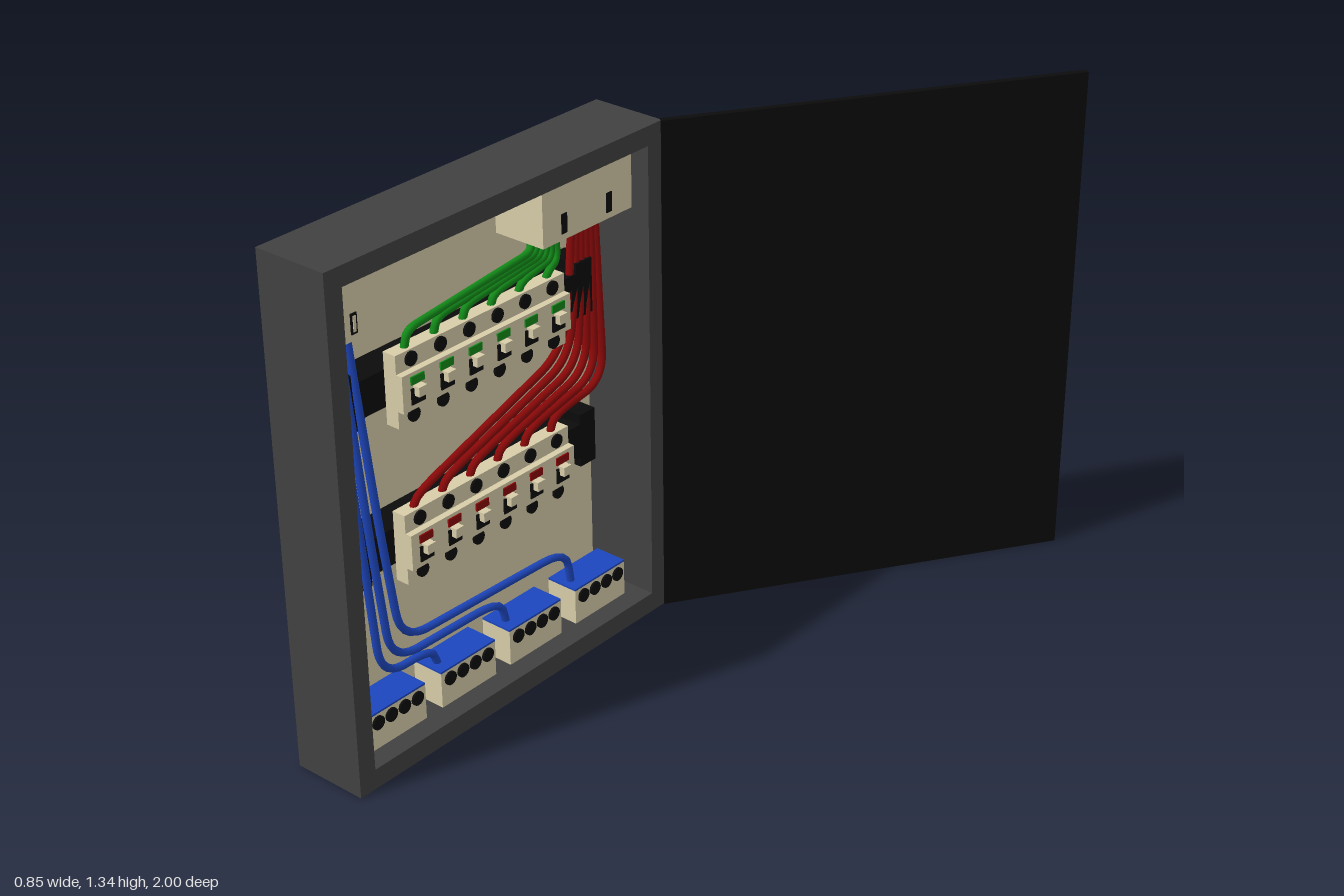
import * as THREE from 'three';

const material = (name, color) => {
  const m = new THREE.MeshStandardMaterial({ color });
  m.name = name;
  return m;
};

export function createModel() {
  const model = new THREE.Group();
  model.name = 'electricalCabinet';
  const grey = material('cabinet grey', 0x414141);
  const black = material('black', 0x0b0b0b);
  const beige = material('beige', 0xd8cda9);
  const blue = material('blue', 0x1d46bd);
  const green = material('green', 0x128a18);
  const red = material('red', 0x8a0808);

  // Box given by its limits on each axis
  const box = (name, mat, x0, x1, y0, y1, z0, z1, parent = model) => {
    const mesh = new THREE.Mesh(new THREE.BoxGeometry(x1 - x0, y1 - y0, z1 - z0), mat);
    mesh.position.set((x0 + x1) / 2, (y0 + y1) / 2, (z0 + z1) / 2);
    mesh.name = name;
    parent.add(mesh);
    return mesh;
  };
  // Short round plug facing +x
  const disc = (name, x, y, z, parent) => {
    const mesh = new THREE.Mesh(new THREE.CylinderGeometry(0.018, 0.018, 0.008, 16), black);
    mesh.rotation.z = -Math.PI / 2;
    mesh.position.set(x, y, z);
    mesh.name = name;
    parent.add(mesh);
  };
  // Wire through [x, y, z] points, with rounded bends at inner points
  const wire = (name, mat, points, bend = 0.06) => {
    const p = points.map((a) => new THREE.Vector3(...a));
    const path = new THREE.CurvePath();
    let last = p[0];
    for (let i = 1; i < p.length - 1; i++) {
      const toward = (q) => {
        const d = q.clone().sub(p[i]);
        return p[i].clone().addScaledVector(d.clone().normalize(), Math.min(bend, d.length() * 0.48));
      };
      const a = toward(p[i - 1]), b = toward(p[i + 1]);
      path.add(new THREE.LineCurve3(last, a));
      path.add(new THREE.QuadraticBezierCurve3(a, p[i], b));
      last = b;
    }
    path.add(new THREE.LineCurve3(last, p[p.length - 1]));
    const mesh = new THREE.Mesh(new THREE.TubeGeometry(path, 64, 0.01, 8), mat);
    mesh.name = name;
    model.add(mesh);
  };

  // Cabinet shell, open toward +x
  const H = 1.335;
  const outline = new THREE.Shape([[-1, 0], [0.09, 0], [0.09, H], [-1, H]].map((a) => new THREE.Vector2(...a)));
  outline.holes.push(new THREE.Path([[-0.95, 0.053], [-0.95, 1.285], [0.038, 1.285], [0.038, 0.053]].map((a) => new THREE.Vector2(...a))));
  const frame = new THREE.Mesh(new THREE.ExtrudeGeometry(outline, { depth: 0.205, bevelEnabled: false }), grey);
  frame.rotation.y = Math.PI / 2;
  frame.position.x = -0.39;
  frame.name = 'cabinetFrame';
  model.add(frame);
  box('backPlate', grey, -0.427, -0.39, 0.053, 1.285, -0.038, 0.95);
  box('mountingPanel', beige, -0.392, -0.386, 0.053, 1.285, -0.038, 0.95);

  // Open door
  const door = box('door', black, -0.009, 0.009, 0, H, -0.545, 0.545);
  door.rotation.y = Math.atan2(0.605, -0.907);
  door.position.set(0.113, H / 2, -0.541);

  // Cable inlet blocks at the top, with slots
  box('inletBlockLeft', beige, -0.388, -0.237, 1.115, 1.284, 0.8, 0.949);
  box('inletBlockRight', beige, -0.388, -0.237, 1.115, 1.284, -0.037, 0.275);
  for (const z of [0.877, 0.203, 0.046]) box('inletSlot', black, -0.238, -0.234, 1.132, 1.182, z - 0.009, z + 0.009);
  box('inletSlotCore', beige, -0.235, -0.232, 1.138, 1.176, 0.873, 0.881);

  // Two rows of breakers on rails
  const breakerZ = (i) => 0.692 - 0.0935 * i;
  for (const [cy, labelMat] of [[0.922, green], [0.513, red]]) {
    const row = new THREE.Group();
    row.name = 'breakerRow';
    model.add(row);
    box('rail', black, -0.388, -0.3, cy - 0.047, cy + 0.047, 0.09, 0.82, row);
    for (const z of [0.04, 0.815]) box('railEnd', black, -0.388, -0.3, cy - 0.072, cy + 0.072, z, z + 0.055, row);
    box('breakerBody', beige, -0.3, -0.262, cy - 0.092, cy + 0.092, 0.18, 0.738, row);
    box('breakerStep', beige, -0.27, -0.244, cy - 0.048, cy + 0.045, 0.18, 0.738, row);
    for (let i = 0; i < 6; i++) {
      const z = breakerZ(i);
      for (const s of [-1, 1]) disc('screw', -0.26, cy + s * 0.07, z, row);
      box('switchSlot', black, -0.246, -0.24, cy - 0.034, cy + 0.006, z - 0.021, z + 0.021, row);
      box('switchLever', beige, -0.246, -0.225, cy - 0.012, cy + 0.012, z - 0.013, z + 0.013, row);
      box('label', labelMat, -0.246, -0.24, cy + 0.016, cy + 0.036, z - 0.021, z + 0.021, row);
    }
  }

  // Terminal blocks along the floor
  for (const cz of [0.818, 0.578, 0.34, 0.1]) {
    const block = new THREE.Group();
    block.name = 'terminalBlock';
    model.add(block);
    box('terminalBody', beige, -0.33, -0.24, 0.053, 0.148, cz - 0.093, cz + 0.093, block);
    box('terminalTop', blue, -0.33, -0.24, 0.148, 0.153, cz - 0.093, cz + 0.093, block);
    for (let k = 0; k < 4; k++) disc('terminalHole', -0.238, 0.125, cz + (1.5 - k) * 0.043, block);
  }

  // Blue wires from the left inlet to the terminals
  const X = -0.28, T = -0.31;
  wire('blueWire', blue, [[T, 1.12, 0.91], [X, 0.6, 0.9], [X, 0.15, 0.882]]);
  wire('blueWire', blue, [[T, 1.12, 0.887], [X, 0.6, 0.862], [X, 0.2, 0.825], [X, 0.2, 0.66], [X, 0.15, 0.642]], 0.09);
  wire('blueWire', blue, [[T, 1.12, 0.862], [X, 0.6, 0.835], [X, 0.225, 0.79], [X, 0.218, 0.42], [X, 0.15, 0.403]], 0.09);
  wire('blueWire', blue, [[T, 1.12, 0.838], [X, 0.6, 0.802], [X, 0.265, 0.755], [X, 0.248, 0.18], [X, 0.15, 0.165]], 0.09);

  // Red and green wires from the right inlet to the breakers
  for (let i = 0; i < 6; i++) {
    const z = breakerZ(i);
    wire('redWire', red, [
      [-0.32, 1.12, 0.085 - 0.016 * i],
      [-0.31, 0.92, 0.112 - 0.021 * i],
      [-0.295, 0.785 - 0.026 * i, 0.165 - 0.031 * i],
      [X, 0.63 + 0.002 * i, z - 0.015],
      [X, 0.6, z],
    ], 0.08);
    wire('greenWire', green, [
      [T, 1.12, 0.243 - 0.017 * i],
      [-0.3, 1.082 - 0.01 * i, 0.246 - 0.017 * i],
      [X, 1.052 - 0.005 * i, z - 0.012],
      [X, 1.01, z],
    ], 0.035);
  }
  return model;
}
